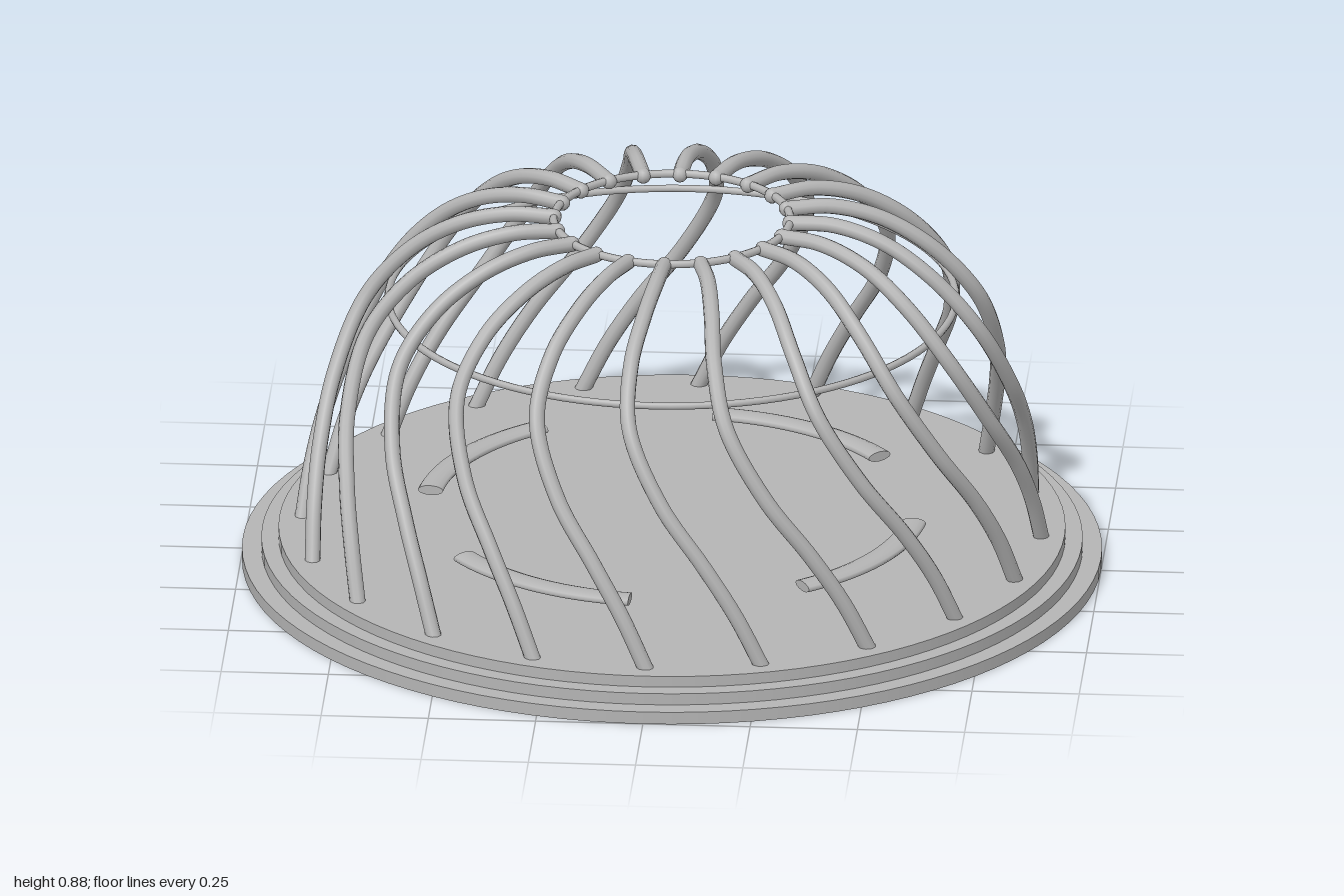
import * as THREE from 'three';

const RIBS = 20;
const grey = new THREE.MeshStandardMaterial({ color: 0xb4b4b4 });
grey.name = 'plain grey';

function add(parent, name, geometry) {
  const mesh = new THREE.Mesh(geometry, grey);
  mesh.name = name;
  parent.add(mesh);
  return mesh;
}

// horizontal ring
function addRing(parent, name, radius, tube, y) {
  const geometry = new THREE.TorusGeometry(radius, tube, 8, 96);
  geometry.rotateX(Math.PI / 2);
  add(parent, name, geometry).position.y = y;
}

export function createModel() {
  const model = new THREE.Group();
  model.name = 'spiralCage';

  // stepped round base
  [[1, 0, 0.03], [0.955, 0.03, 0.058], [0.915, 0.058, 0.085]].forEach(([r, y0, y1], i) => {
    add(model, 'baseStep' + (i + 1), new THREE.CylinderGeometry(r, r, y1 - y0, 96))
      .position.y = (y0 + y1) / 2;
  });

  // swirling ribs: radius, height, sweep angle in degrees
  const path = [
    [0.862, 0.075, 0], [0.845, 0.2, 4], [0.822, 0.32, 9], [0.785, 0.46, 16],
    [0.72, 0.62, 22], [0.62, 0.74, 23], [0.5, 0.82, 21.5], [0.38, 0.855, 19.5], [0.275, 0.855, 18],
  ].map(([r, y, deg]) => {
    const a = THREE.MathUtils.degToRad(deg);
    return new THREE.Vector3(r * Math.cos(a), y, r * Math.sin(a));
  });
  const curve = new THREE.CatmullRomCurve3(path);
  const ribGeometry = new THREE.TubeGeometry(curve, 64, 0.0185, 10);
  const tipGeometry = new THREE.SphereGeometry(0.0185, 10, 8);
  const ribs = new THREE.Group();
  ribs.name = 'ribs';
  for (let i = 0; i < RIBS; i++) {
    const rib = new THREE.Group();
    rib.name = 'rib' + (i + 1);
    add(rib, 'ribRod', ribGeometry);
    add(rib, 'ribTip', tipGeometry).position.copy(path[path.length - 1]);
    rib.rotation.y = (i * Math.PI * 2) / RIBS;
    ribs.add(rib);
  }
  model.add(ribs);

  // hoops holding the ribs
  addRing(model, 'topRing', 0.275, 0.01, 0.857);
  addRing(model, 'middleHoop', 0.66, 0.009, 0.66);

  // four flattened curved bars just above the base
  const span = THREE.MathUtils.degToRad(48);
  const start = THREE.MathUtils.degToRad(6);
  const barGeometry = new THREE.TorusGeometry(0.57, 0.03, 12, 32, span);
  barGeometry.scale(1, 1, 0.4);
  barGeometry.rotateX(Math.PI / 2);
  const capGeometry = (angle, flip) => {
    const cap = new THREE.CircleGeometry(0.03, 12);
    cap.scale(1, 0.4, 1);
    if (flip) cap.rotateY(Math.PI);
    cap.translate(0.57, 0, 0);
    cap.rotateY(-angle);
    return cap;
  };
  const startCap = capGeometry(0, true);
  const endCap = capGeometry(span, false);
  for (let i = 0; i < 4; i++) {
    const bar = new THREE.Group();
    bar.name = 'curvedBar' + (i + 1);
    add(bar, 'barBody', barGeometry);
    add(bar, 'barStart', startCap);
    add(bar, 'barEnd', endCap);
    bar.position.y = 0.133;
    bar.rotation.y = -start - (i * Math.PI) / 2;
    model.add(bar);
  }
  return model;
}
